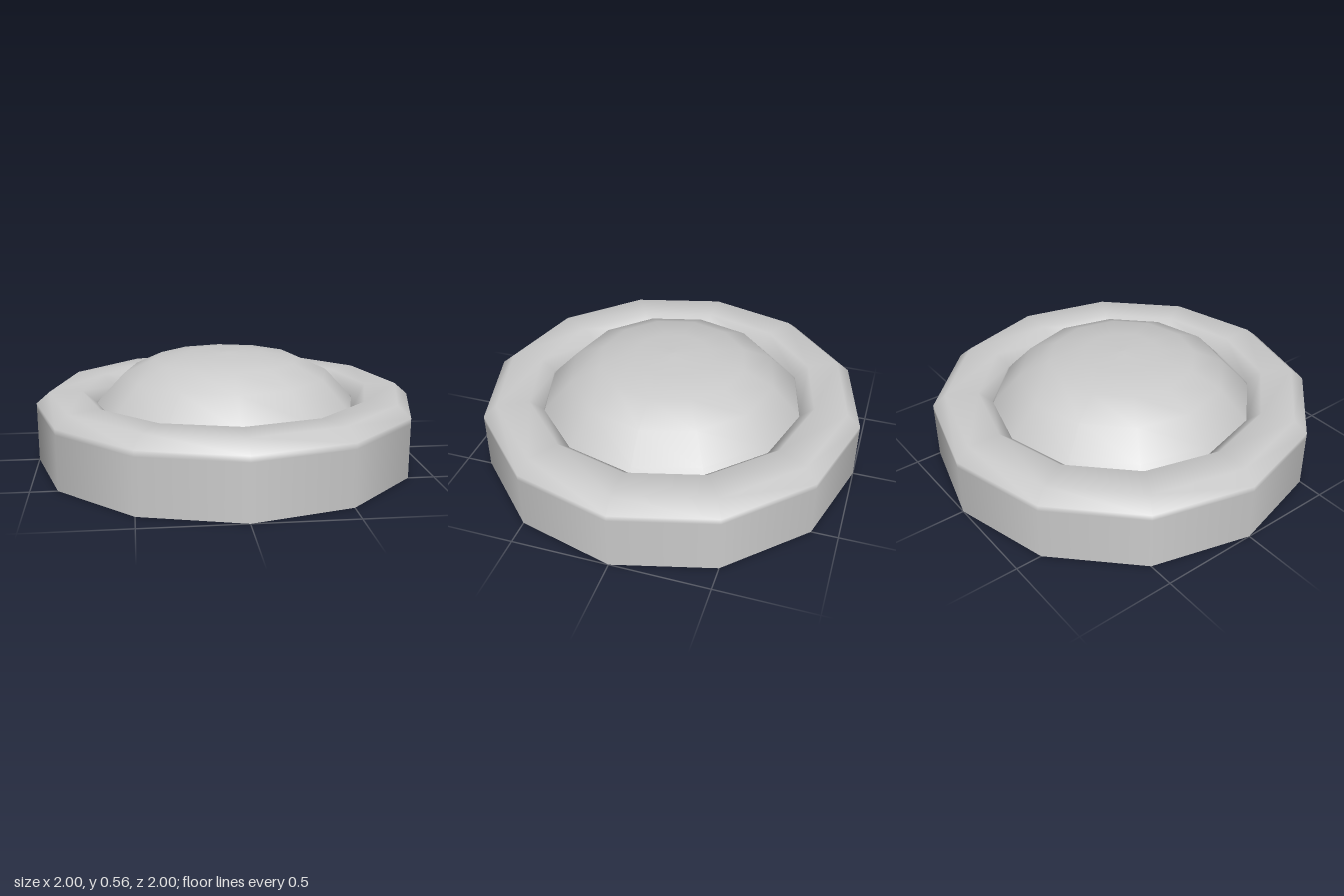
import * as THREE from 'three';

const SIDES = 12;

// Smooth twelve-sided surface turned from a [radius, height] profile
function turned(name, profile) {
  const points = profile.map(([r, y]) => new THREE.Vector2(r, y));
  const material = new THREE.MeshStandardMaterial({ color: 0xcccccc, side: THREE.DoubleSide });
  const mesh = new THREE.Mesh(new THREE.LatheGeometry(points, SIDES), material);
  mesh.name = name;
  return mesh;
}

export function createModel() {
  const group = new THREE.Group();
  group.name = 'domedButton';

  // Thin housing, open underneath, with bevelled shoulder and a lip turned down inside
  group.add(turned('housingRing', [
    [1, 0], [1, 0.28], [1, 0.31], [0.93, 0.37], [0.76, 0.37], [0.69, 0.31], [0.69, 0.27],
  ]));

  // Shallow dome that rises through the ring, its rim hanging just below the lip
  group.add(turned('dome', [
    [0.735, 0.235], [0.663, 0.33], [0.541, 0.459], [0.383, 0.532], [0.198, 0.558], [0, 0.565],
  ]));

  return group;
}
